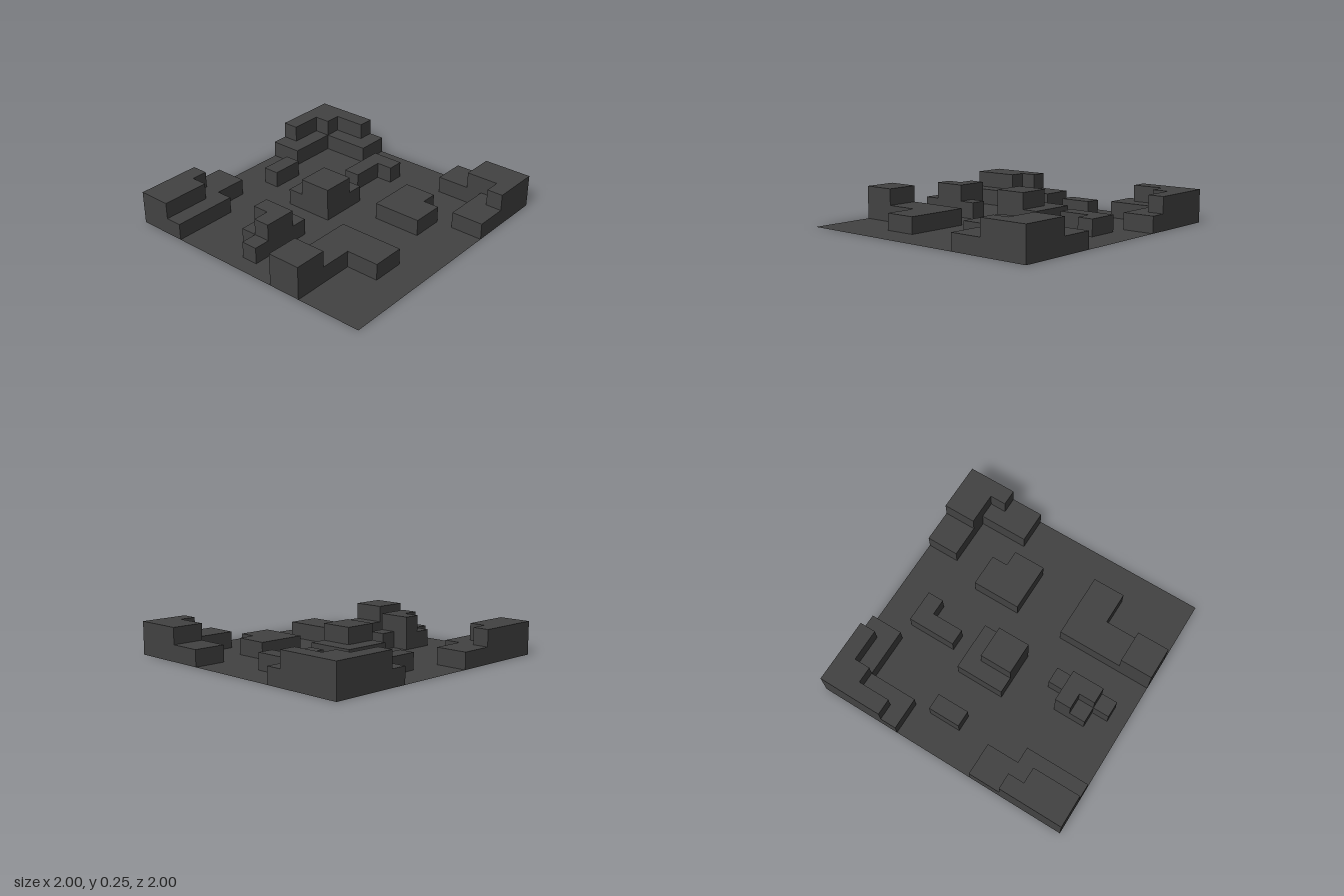
import * as THREE from 'three';
import { mergeGeometries } from 'three/addons/utils/BufferGeometryUtils.js';

const N = 16;          // cells per side
const C = 2 / N;       // cell size, also the height of one step

// Each formation is a list of cell rectangles: [x0, x1, z0, z1, level]
const formations = {
  backLeftRidge: [[0, 6, 0, 2, 1], [0, 4, 0, 3, 1], [0, 3, 0, 2, 2], [0, 4, 0, 1, 2]],
  backRightRidge: [[11, 16, 0, 2, 1], [14, 16, 0, 5, 1], [12, 16, 0, 1, 2], [14, 16, 0, 2, 2], [15, 16, 0, 4, 2]],
  backSlab: [[8, 10, 2, 3, 1]],
  centreMound: [[7, 10, 5, 8, 1], [7, 9, 6, 8, 2]],
  rightHook: [[11, 14, 6, 7, 1], [13, 14, 6, 8, 1]],
  leftCluster: [[1, 5, 7, 8, 1], [2, 4, 6, 8, 1], [2, 4, 7, 8, 2], [3, 4, 6, 8, 2]],
  frontLeftLedge: [[0, 6, 10, 12, 1], [4, 6, 10, 14, 1], [0, 2, 10, 12, 2]],
  frontSlab: [[9, 12, 10, 12, 1], [9, 11, 10, 13, 1]],
  frontRightRidge: [[11, 16, 14, 16, 1], [14, 16, 11, 16, 1], [13, 16, 15, 16, 2], [14, 16, 13, 16, 2]],
};

// Paint the rectangles onto a height grid, remembering which part owns each cell
function buildGrid() {
  const level = new Uint8Array(N * N);
  const owner = new Array(N * N).fill('ground');
  for (const [name, rects] of Object.entries(formations)) {
    for (const [x0, x1, z0, z1, h] of rects) {
      for (let z = z0; z < z1; z++) {
        for (let x = x0; x < x1; x++) {
          level[z * N + x] = Math.max(level[z * N + x], h);
          owner[z * N + x] = name;
        }
      }
    }
  }
  return { level, owner };
}

// Top face of a cell
function topFace(x, z, h) {
  return new THREE.PlaneGeometry(C, C).rotateX(-Math.PI / 2)
    .translate((x + 0.5) * C - 1, h * C, (z + 0.5) * C - 1);
}

// Wall on the (dx, dz) side of a cell, from level low to level high
function wallFace(x, z, dx, dz, low, high) {
  return new THREE.PlaneGeometry(C, (high - low) * C).rotateY(Math.atan2(dx, dz))
    .translate((x + 0.5 + dx / 2) * C - 1, (low + high) / 2 * C, (z + 0.5 + dz / 2) * C - 1);
}

export function createModel() {
  const group = new THREE.Group();
  group.name = 'terrainTile';
  const stone = new THREE.MeshStandardMaterial({ color: 0x424242, side: THREE.DoubleSide });
  stone.name = 'dark stone';

  const { level, owner } = buildGrid();
  const at = (x, z) => (x < 0 || z < 0 || x >= N || z >= N ? 0 : level[z * N + x]);

  // Open-bottomed shell: every cell has a top, and walls down to lower neighbours
  const faces = {};
  for (let z = 0; z < N; z++) {
    for (let x = 0; x < N; x++) {
      const h = at(x, z);
      const list = (faces[owner[z * N + x]] ??= []);
      list.push(topFace(x, z, h));
      for (const [dx, dz] of [[1, 0], [-1, 0], [0, 1], [0, -1]]) {
        const low = at(x + dx, z + dz);
        if (low < h) list.push(wallFace(x, z, dx, dz, low, h));
      }
    }
  }

  for (const [name, list] of Object.entries(faces)) {
    const mesh = new THREE.Mesh(mergeGeometries(list), stone);
    mesh.name = name;
    group.add(mesh);
  }
  return group;
}
